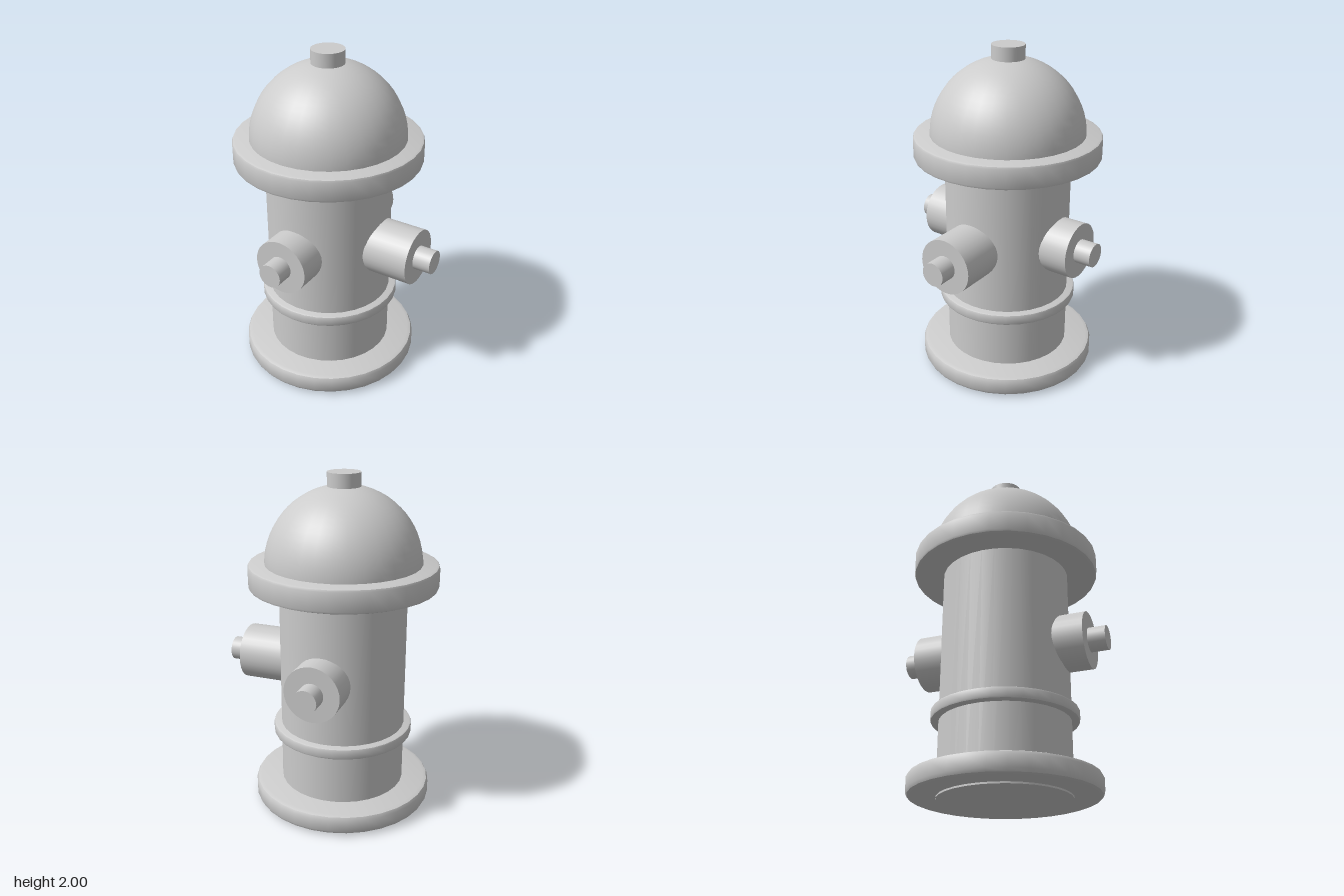
import * as THREE from 'three';
import { toCreasedNormals } from 'three/addons/utils/BufferGeometryUtils.js';

const SIDES = 32;
const AXIS_X = -0.083;

export function createModel() {
  const model = new THREE.Group();
  model.name = 'hydrant';
  const material = new THREE.MeshStandardMaterial({ color: 0xcccccc });

  const hydrant = new THREE.Group();
  hydrant.name = 'hydrantBody';
  hydrant.position.x = AXIS_X;
  model.add(hydrant);

  const add = (name, geometry, parent = hydrant) => {
    const mesh = new THREE.Mesh(geometry, material);
    mesh.name = name;
    parent.add(mesh);
    return mesh;
  };

  // Closed disc with softened rims, turned around the vertical axis
  const disc = (radius, y0, y1, inset, bevel) => {
    const points = [
      [0, y0], [radius - inset, y0], [radius - inset * 0.3, y0 + bevel * 0.3], [radius, y0 + bevel],
      [radius, y1 - bevel], [radius - inset * 0.3, y1 - bevel * 0.3], [radius - inset, y1], [0, y1],
    ].map(([x, y]) => new THREE.Vector2(x, y));
    return toCreasedNormals(new THREE.LatheGeometry(points, SIDES), 0.7);
  };

  const cylinder = (radius, y0, y1) =>
    new THREE.CylinderGeometry(radius, radius, y1 - y0, SIDES).translate(0, (y0 + y1) / 2, 0);

  // Standing column with its flanges
  add('base', disc(0.537, 0.01, 0.128, 0.03, 0.025));
  add('barrel', cylinder(0.374, 0, 1.42));
  add('band', disc(0.42, 0.432, 0.498, 0.012, 0.012));
  add('bonnetFlange', disc(0.551, 1.35, 1.487, 0.016, 0.016));

  // Domed bonnet and operating nut
  const dome = new THREE.SphereGeometry(0.455, SIDES, 16, 0, Math.PI * 2, 0, Math.PI / 2);
  add('bonnet', dome).position.y = 1.475;
  add('topNut', cylinder(0.096, 1.88, 2));

  // Three outlets: a longer one on the left, shorter ones at front and back
  const outlets = [
    ['leftOutlet', Math.PI / 2, 0.608, 0.713],
    ['frontOutlet', 0, 0.51, 0.612],
    ['backOutlet', Math.PI, 0.51, 0.612],
  ];
  for (const [name, turn, barrelEnd, nutEnd] of outlets) {
    const outlet = new THREE.Group();
    outlet.name = name;
    outlet.position.y = 0.865;
    outlet.rotation.y = turn;
    hydrant.add(outlet);
    add('outletCap', cylinder(0.165, 0.25, barrelEnd).rotateX(Math.PI / 2), outlet);
    add('outletNut', cylinder(0.07, barrelEnd - 0.03, nutEnd).rotateX(Math.PI / 2), outlet);
  }

  return model;
}
